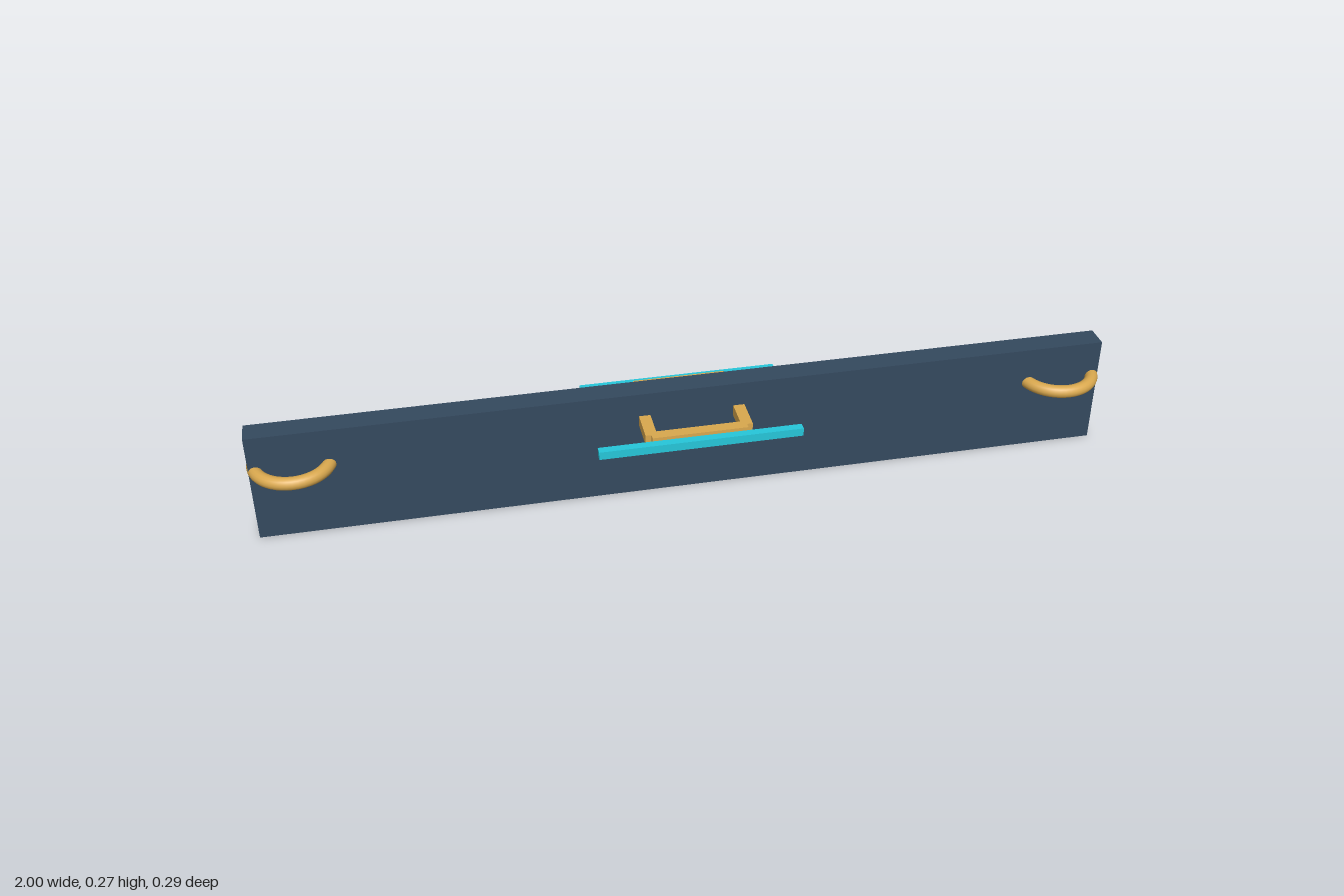
import * as THREE from 'three';

const navy = new THREE.MeshStandardMaterial({ color: 0x34495e });
const gold = new THREE.MeshStandardMaterial({ color: 0xd9a84e });
const cyan = new THREE.MeshStandardMaterial({ color: 0x26c6da });

export function createModel() {
  const model = new THREE.Group();
  model.name = 'boardWithHandles';

  function add(name, geometry, material, x, y, z, parent = model) {
    const mesh = new THREE.Mesh(geometry, material);
    mesh.name = name;
    mesh.position.set(x, y, z);
    parent.add(mesh);
    return mesh;
  }

  // Upright board
  add('board', new THREE.BoxGeometry(1.99, 0.266, 0.057), navy, 0, 0.133, 0);

  // Square frame of four overlapping bars through the board
  const frame = new THREE.Group();
  frame.name = 'handleFrame';
  model.add(frame);
  const reach = 0.11, bar = 0.0265, length = 2 * reach;

  for (const side of [1, -1]) {
    const label = side > 0 ? 'left' : 'right';
    const face = side > 0 ? 'front' : 'back';

    // Ring lying flat through each end
    const ring = add(label + 'Ring', new THREE.TorusGeometry(0.0848, 0.0152, 16, 48), gold, side * 0.9, 0.176, 0);
    ring.rotation.x = Math.PI / 2;

    add(label + 'Arm', new THREE.BoxGeometry(bar, bar, length), gold, side * reach, 0.195, 0, frame);
    add(face + 'Bar', new THREE.BoxGeometry(length, bar, bar), gold, 0, 0.195, side * reach, frame);

    // Long strip outside each face of the frame
    add(face + 'Strip', new THREE.BoxGeometry(0.468, 0.0195, 0.0195), cyan, 0, 0.1905, side * 0.133);
  }
  return model;
}
